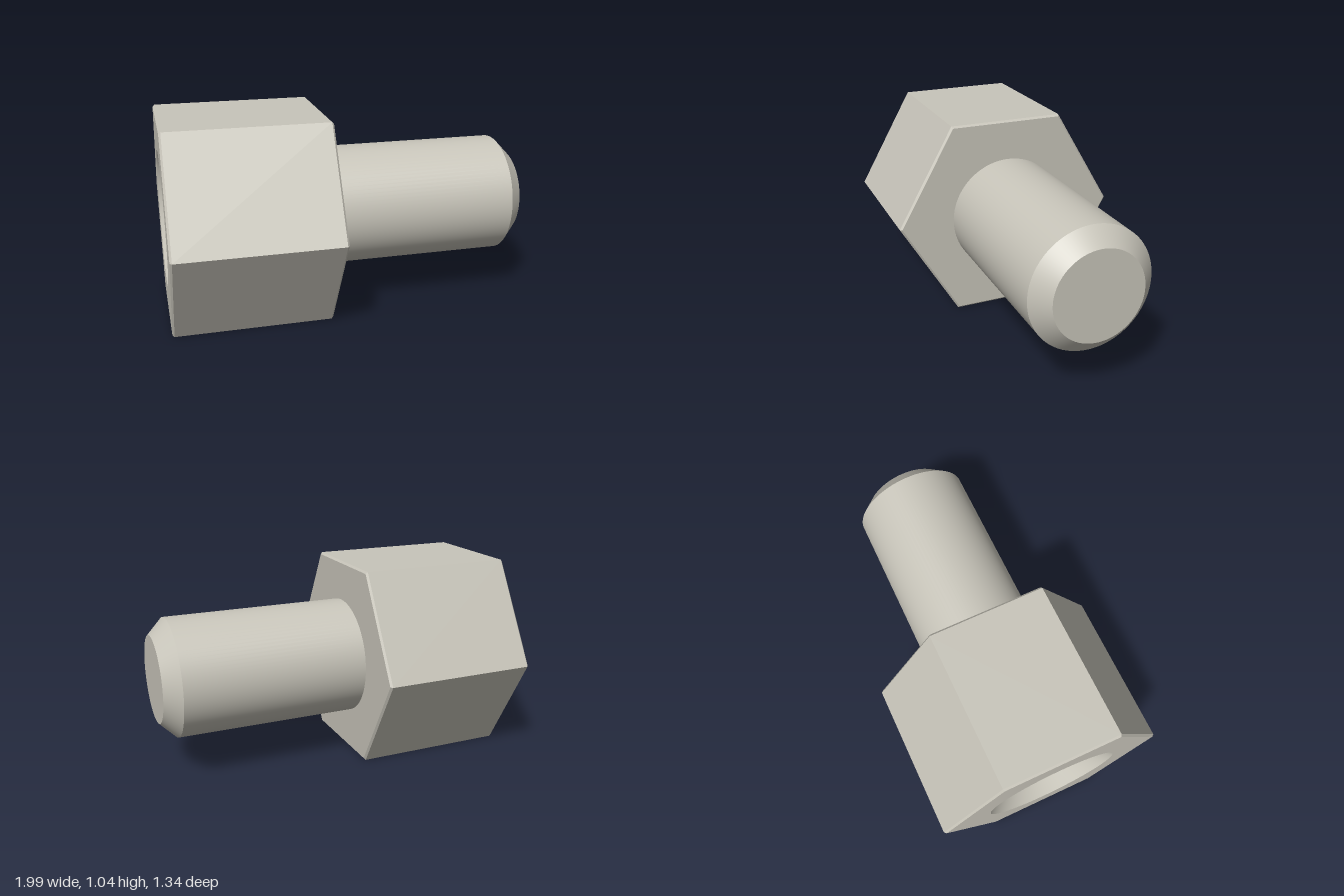
import * as THREE from 'three';
import { mergeGeometries } from 'three/addons/utils/BufferGeometryUtils.js';

// Positions along the fastener's axis (local z)
const BACK = -0.895, FRONT = -0.074, SHOULDER = 0.887, TIP = 0.969;
const HEX_R = 0.6, BEVEL = 0.01, CAP_R = HEX_R - 0.0115;
const SHAFT_R = 0.31, TIP_R = 0.2275, BORE_R = 0.26, SINK_R = 0.345;

// Revolves each [radius, z] span separately, so edges between spans stay sharp
function revolve(profile, segments) {
  const spans = [];
  for (let i = 0; i < profile.length - 1; i++) {
    const pts = [profile[i], profile[i + 1]].map(([r, z]) => new THREE.Vector2(r, z));
    spans.push(new THREE.LatheGeometry(pts, segments, Math.PI / 2));
  }
  return mergeGeometries(spans).rotateX(Math.PI / 2);
}

// Flat hexagonal face with a round opening
function hexCap(openingR) {
  const corners = [];
  for (let i = 0; i < 6; i++) {
    const a = i * Math.PI / 3;
    corners.push(new THREE.Vector2(CAP_R * Math.cos(a), CAP_R * Math.sin(a)));
  }
  const shape = new THREE.Shape(corners);
  shape.holes.push(new THREE.Path().absarc(0, 0, openingR, 0, Math.PI * 2, true));
  return new THREE.ShapeGeometry(shape, 48);
}

export function createModel() {
  const model = new THREE.Group();
  model.name = 'hexStandoff';
  const metal = new THREE.MeshStandardMaterial({ color: 0xc8c5ba });
  metal.name = 'warm grey metal';

  const add = (name, geometry) => {
    const mesh = new THREE.Mesh(geometry, metal);
    mesh.name = name;
    model.add(mesh);
    return mesh;
  };

  // Hexagonal body with finely bevelled ends
  const sides = revolve([
    [CAP_R, BACK], [HEX_R, BACK + BEVEL], [HEX_R, FRONT - BEVEL], [CAP_R, FRONT],
  ], 6).toNonIndexed();
  sides.computeVertexNormals();
  add('hexBody', sides);
  add('frontFace', hexCap(SHAFT_R)).position.z = FRONT;
  add('backFace', hexCap(SINK_R).rotateY(Math.PI)).position.z = BACK;

  // Shaft with chamfered tip
  add('shaft', revolve([
    [SHAFT_R, FRONT], [SHAFT_R, SHOULDER], [TIP_R, TIP], [0, TIP],
  ], 96));

  // Blind bore with countersunk mouth
  add('bore', revolve([
    [0, BACK + 0.68], [BORE_R, BACK + 0.68], [BORE_R, BACK + 0.085], [SINK_R, BACK],
  ], 96));

  // Lay the axis along +x, swung 12 degrees toward the front
  model.rotation.y = THREE.MathUtils.degToRad(78);
  model.position.set(0, 0.52, 0.095);
  const root = new THREE.Group();
  root.name = 'standoff';
  root.add(model);
  return root;
}
